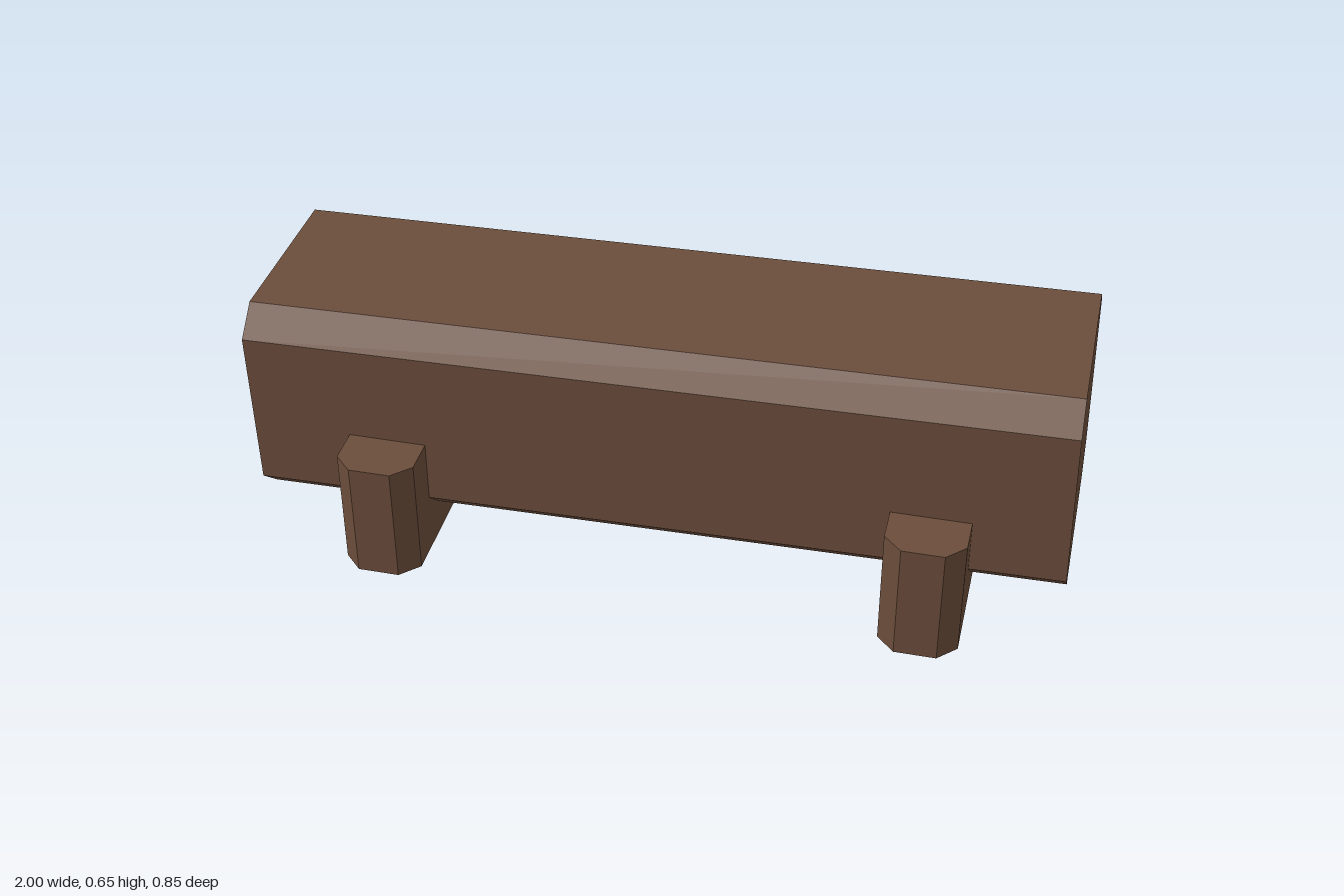
import * as THREE from 'three';

// Rectangle with cut corners, centred on the origin
function cutRectangle(halfW, halfH, cutW, cutH) {
  const s = new THREE.Shape();
  s.moveTo(-halfW + cutW, -halfH);
  s.lineTo(halfW - cutW, -halfH);
  s.lineTo(halfW, -halfH + cutH);
  s.lineTo(halfW, halfH - cutH);
  s.lineTo(halfW - cutW, halfH);
  s.lineTo(-halfW + cutW, halfH);
  s.lineTo(-halfW, halfH - cutH);
  s.lineTo(-halfW, -halfH + cutH);
  s.closePath();
  return s;
}

export function createModel() {
  const group = new THREE.Group();
  const wood = new THREE.MeshStandardMaterial({ color: 0x6b4d3b });
  wood.name = 'brown wood';

  // Beam: chamfered section extruded along x, tilted slightly up toward +x
  const length = 1.99;
  const beamGeometry = new THREE.ExtrudeGeometry(
    cutRectangle(0.29, 0.269, 0.07, 0.065), { depth: length, bevelEnabled: false });
  beamGeometry.translate(0, 0, -length / 2);
  beamGeometry.rotateY(Math.PI / 2);
  const beam = new THREE.Mesh(beamGeometry, wood);
  beam.name = 'beam';
  beam.position.y = 0.361;
  beam.rotation.z = 0.0185;
  group.add(beam);

  // Cross supports: upright blocks with cut vertical corners
  const supportHeight = 0.307;
  const supportGeometry = new THREE.ExtrudeGeometry(
    cutRectangle(0.096, 0.425, 0.045, 0.045), { depth: supportHeight, bevelEnabled: false });
  supportGeometry.rotateX(-Math.PI / 2);
  for (const [name, x] of [['rightSupport', -0.652], ['leftSupport', 0.674]]) {
    const support = new THREE.Mesh(supportGeometry, wood);
    support.name = name;
    support.position.x = x;
    group.add(support);
  }

  return group;
}
